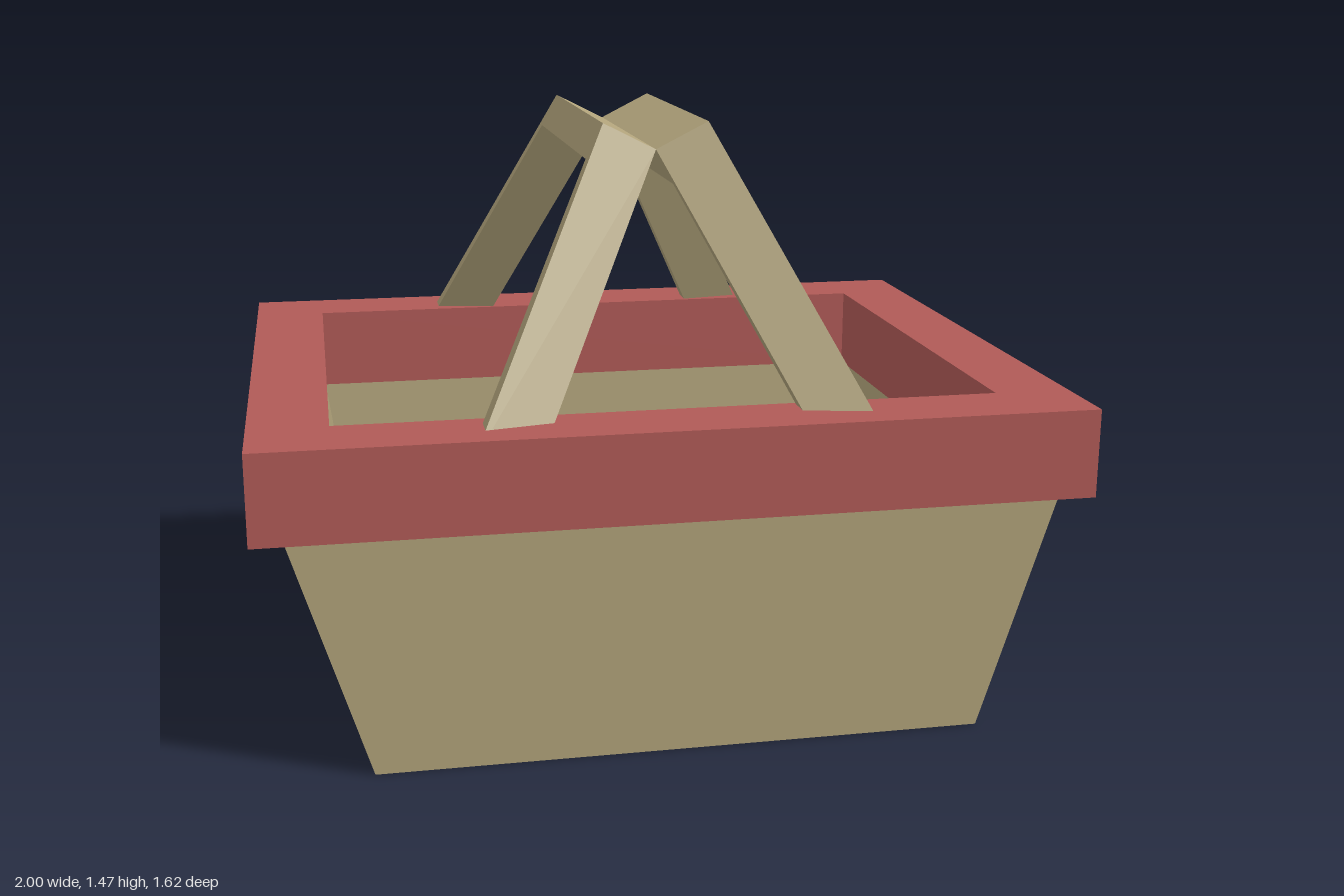
import * as THREE from 'three';

const tan = new THREE.MeshStandardMaterial({ color: 0xb0a27a, flatShading: true });
const red = new THREE.MeshStandardMaterial({ color: 0xb05a57, flatShading: true });

// Flat-sided loft through rectangles given as [halfX, y, halfZ]
function loftRects(rects) {
  const corner = ([hx, y, hz], i) => {
    const [sx, sz] = [[1, 1], [1, -1], [-1, -1], [-1, 1]][i % 4];
    return [sx * hx, y, sz * hz];
  };
  const pos = [];
  for (let r = 0; r < rects.length - 1; r++) {
    for (let i = 0; i < 4; i++) {
      const a = corner(rects[r], i), b = corner(rects[r], i + 1);
      const c = corner(rects[r + 1], i + 1), d = corner(rects[r + 1], i);
      pos.push(...a, ...b, ...c, ...a, ...c, ...d);
    }
  }
  const geo = new THREE.BufferGeometry();
  geo.setAttribute('position', new THREE.Float32BufferAttribute(pos, 3));
  geo.computeVertexNormals();
  return geo;
}

const rect = (Type, hx, hz) => new Type([[-hx, -hz], [hx, -hz], [hx, hz], [-hx, hz]]
  .map(([x, y]) => new THREE.Vector2(x, y)));

function addMesh(parent, name, geo, mat) {
  const mesh = new THREE.Mesh(geo, mat);
  mesh.name = name;
  parent.add(mesh);
  return mesh;
}

export function createModel() {
  const basket = new THREE.Group();
  basket.name = 'picnicBasket';

  // Hollow body: underside, flared outer walls, ledge, inner walls, floor
  addMesh(basket, 'body', loftRects([
    [0, 0, 0], [0.74, 0, 0.77], [0.925, 0.59, 0.77],
    [0.81, 0.59, 0.62], [0.74, 0.1, 0.575], [0, 0.1, 0],
  ]), tan);

  // Square rim with a rectangular opening
  const rimShape = rect(THREE.Shape, 1, 0.81);
  rimShape.holes.push(rect(THREE.Path, 0.81, 0.62));
  const rimGeo = new THREE.ExtrudeGeometry(rimShape, { depth: 0.22, bevelEnabled: false });
  rimGeo.rotateX(-Math.PI / 2).translate(0, 0.59, 0);
  addMesh(basket, 'rim', rimGeo, red);

  // Handle frame: crossbar with two splayed legs whose ends sink into the rim
  const half = [[0.39, 0], [0.754, -0.8], [0.69, -0.8], [0.39, -0.095]];
  const outline = [...half, ...half.map(([x, y]) => [-x, y]).reverse()];
  const frameShape = new THREE.Shape(outline.map(([x, y]) => new THREE.Vector2(x, y)));
  const frameGeo = new THREE.ExtrudeGeometry(frameShape, { depth: 0.146, bevelEnabled: false });

  // Lean the frame outward from the ridge where both halves meet
  const lean = Math.atan2(0.33, 0.655);
  const up = new THREE.Vector3(-Math.sin(lean), Math.cos(lean), 0);
  const out = new THREE.Vector3(Math.cos(lean), Math.sin(lean), 0);
  frameGeo.applyMatrix4(new THREE.Matrix4()
    .makeBasis(new THREE.Vector3(0, 0, -1), up, out).setPosition(0, 1.4, 0));
  addMesh(basket, 'leftHandle', frameGeo, tan);
  addMesh(basket, 'rightHandle', frameGeo, tan).rotation.y = Math.PI;

  return basket;
}
